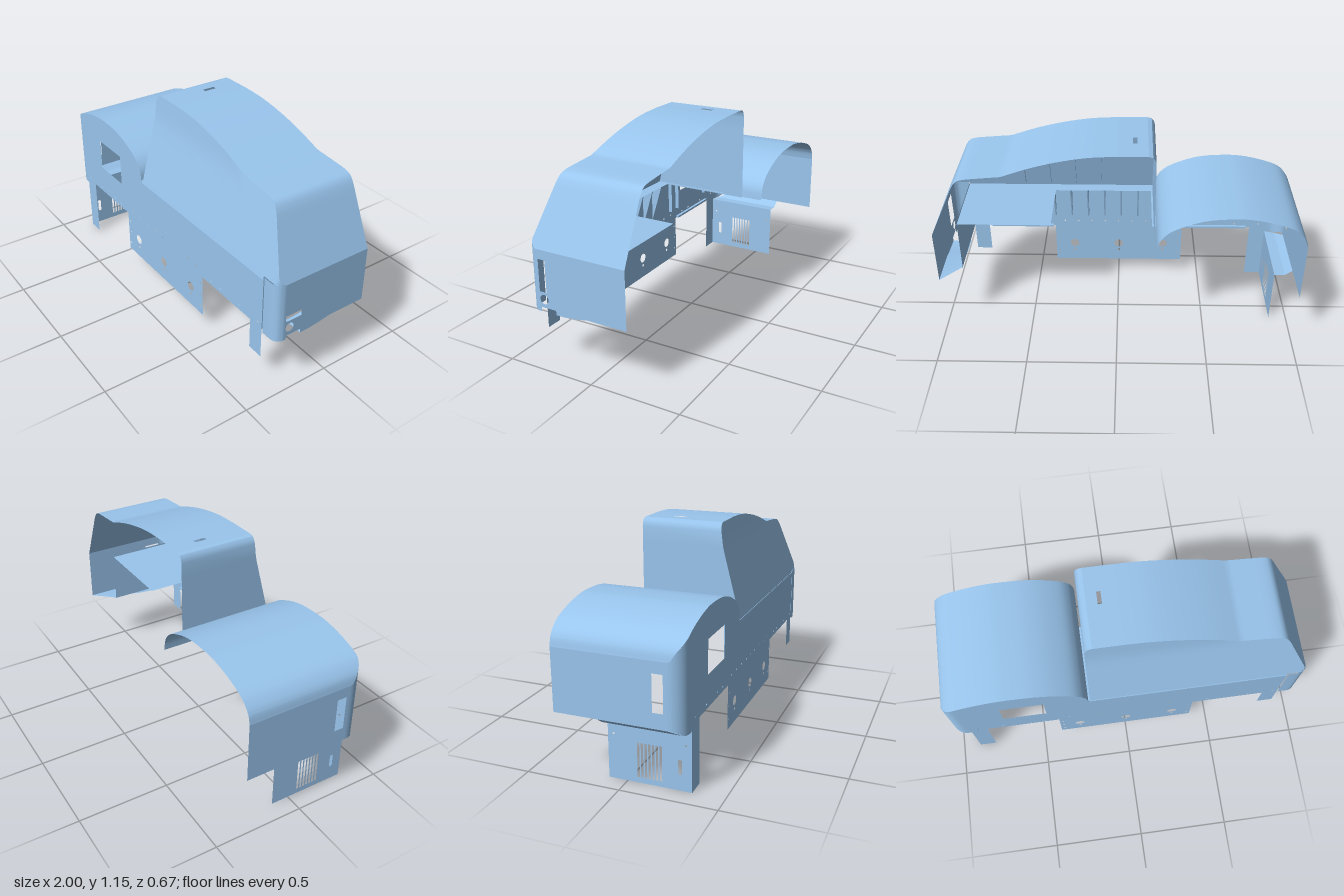
import * as THREE from 'three';
import { toCreasedNormals } from 'three/addons/utils/BufferGeometryUtils.js';

const material = new THREE.MeshStandardMaterial({ color: 0x9ac6ee, side: THREE.DoubleSide });
const FRONT = 0.335, LEDGE = 0.66;

export function createModel() {
  const model = new THREE.Group();

  const add = (name, geometry) => {
    const mesh = new THREE.Mesh(geometry, material);
    mesh.name = name;
    model.add(mesh);
    return mesh;
  };

  // Surface lofted through rows of [x, y, z] points
  const sheet = (name, rows) => {
    const n = rows[0].length, index = [];
    for (let i = 0; i < rows.length - 1; i++) {
      for (let j = 0; j < n - 1; j++) {
        const a = i * n + j, b = a + n;
        index.push(a, b, a + 1, b, b + 1, a + 1);
      }
    }
    const g = new THREE.BufferGeometry();
    g.setAttribute('position', new THREE.Float32BufferAttribute(rows.flat(2), 3));
    g.setIndex(index);
    return add(name, toCreasedNormals(g, 0.5));
  };

  // Flat sheet cut from an outline with holes, placed by a rule (a, b) -> [x, y, z]
  const panel = (name, outline, holes, place) => {
    const shape = new THREE.Shape(outline.map(([a, b]) => new THREE.Vector2(a, b)));
    shape.holes = holes;
    const g = new THREE.ShapeGeometry(shape, 10);
    const p = g.attributes.position;
    for (let i = 0; i < p.count; i++) p.setXYZ(i, ...place(p.getX(i), p.getY(i)));
    g.computeVertexNormals();
    return add(name, g);
  };
  const rect = (a0, b0, a1, b1) => [[a0, b0], [a1, b0], [a1, b1], [a0, b1]];
  const slot = (...r) => new THREE.Path(rect(...r).map(([a, b]) => new THREE.Vector2(a, b)));
  const round = (a, b, r) => new THREE.Path().absarc(a, b, r, 0, Math.PI * 2);
  const spline = (pts, n) =>
    new THREE.SplineCurve(pts.map(([a, b]) => new THREE.Vector2(a, b))).getPoints(n).map((v) => [v.x, v.y]);
  const box = (name, w, h, d, x, y, z) => add(name, new THREE.BoxGeometry(w, h, d)).position.set(x, y, z);

  // Plan line of the front, with rounded vertical corners at both ends
  const planZ = (x) => {
    const r = x < 0 ? 0.08 : 0.05;
    const d = Math.min(r, Math.max(0, Math.abs(x) - (1 - r)));
    return FRONT - r + Math.sqrt(r * r - d * d);
  };
  // Leaning front of the tall hood
  const leanZ = (y) => {
    if (y < LEDGE) return FRONT;
    return y < 1.03 ? 0.33 - 0.258 * (y - LEDGE) : 0.2345 - 0.116 * (y - 1.03);
  };

  // Low arched hood
  const arch = spline([[-1, 0.68], [-0.987, 0.73], [-0.95, 0.775], [-0.9, 0.805], [-0.8, 0.837],
    [-0.7, 0.856], [-0.62, 0.86], [-0.5, 0.853], [-0.4, 0.83], [-0.3, 0.787], [-0.25, 0.748],
    [-0.22, 0.7], [-0.21, 0.64]], 72).map(([x, y]) => [Math.max(-1, x), y]);
  sheet('archedRoof', arch.map(([x, y]) => [[x, y, -FRONT], [x, y, planZ(x)]]));
  const flatStart = arch.findIndex(([x]) => x > -0.92);
  sheet('archedHoodCorner', arch.slice(0, flatStart + 1).map(([x, y]) => {
    const low = 0.32 + Math.max(0, -0.96 - x) * 0.75;
    return [[x, low, planZ(x)], [x, y, planZ(x)]];
  }));
  panel('archedHoodSide', rect(-FRONT, 0.35, 0.255, 0.68), [slot(0.18, 0.43, 0.235, 0.62)], (z, y) => [-1, y, z]);

  // Front wall with its window, feet and control plate
  const holes = [slot(-0.69, 0.52, -0.45, 0.7)];
  for (const x of [-0.275, 0, 0.275]) holes.push(round(x, 0.22, 0.027), round(x, 0.172, 0.008));
  for (let i = 0; i < 9; i++) holes.push(round(-0.33 + i * 0.0825, 0.388, 0.005));
  for (const s of [-1, 1]) {
    for (const y of [0.15, 0.225, 0.3]) holes.push(round(s * 0.37, y, 0.005));
    for (const x of [0.47, 0.55, 0.71, 0.86]) holes.push(round(s * x, 0.375, 0.005));
  }
  const frontOutline = [
    [arch[flatStart][0], 0.32], [-0.9, 0.32], [-0.9, 0], [-0.805, 0], [-0.805, 0.35], [-0.39, 0.35],
    [-0.39, 0.098], [0.39, 0.098], [0.39, 0.35], [0.8, 0.35], [0.8, 0.175], [0.89, 0.175], [0.89, 0.64],
    ...arch.slice(flatStart).reverse(),
  ];
  panel('frontWall', frontOutline, holes, (x, y) => [x, y, FRONT]);

  // Louvred plate and the flange that carries it
  const louvres = [slot(0.265, 0.085, 0.284, 0.16)];
  for (let i = 0; i < 7; i++) louvres.push(slot(0.053 + i * 0.0195, 0.03, 0.065 + i * 0.0195, 0.213));
  for (const z of [-0.07, 0.305]) louvres.push(round(z, 0.24, 0.005));
  panel('louvredPlate', rect(-0.1, 0, FRONT, 0.32), louvres, (z, y) => [-0.9, y, z]);
  sheet('plateFlange', [[-1, 0.35, 0.255], [-0.96, 0.32, 0.32], [-0.9, 0.32, FRONT]]
    .map(([x, y, z]) => [[x, y, -0.1], [x, y, z]]));

  // Tall hood: side, flat top with slot, falling roof and sloping end
  const side = [[-0.2, 0.64], [-0.2, LEDGE], [-0.2, 1.03], [-0.2, 1.11], [-0.194, 1.134], [-0.182, 1.149], [-0.16, 1.155]];
  const roof = spline([[0, 1.155], [0.15, 1.146], [0.3, 1.121], [0.45, 1.082], [0.6, 1.03]], 20)
    .concat(spline([[0.6, 1.03], [0.7, 1.021], [0.8, 1.01], [0.84, 0.992], [0.865, 0.955]], 14).slice(1));
  for (let i = 1; i <= 14; i++) {
    const t = Math.sin((i / 14) * Math.PI / 2);
    roof.push([0.865 + 0.135 * t, 0.955 - 0.295 * t]);
  }
  const hoodZ = (x, y) => Math.min(leanZ(y), planZ(x));
  const hoodRow = ([x, y]) => [[x, y, -0.22], [x, y, hoodZ(x, y)]];
  sheet('tallHoodSide', side.map(hoodRow));
  panel('tallHoodTop', rect(-0.16, -0.22, 0, leanZ(1.155)), [slot(-0.102, -0.08, -0.08, -0.012)],
    (x, z) => [x, 1.155, z]);
  sheet('tallHoodRoof', roof.map(hoodRow));
  sheet('tallHoodFront', [...side.slice(3), ...roof].map(([x, top]) =>
    Array.from({ length: 10 }, (_, i) => {
      const y = LEDGE + (top - LEDGE) * i / 9;
      return [x, y, hoodZ(x, y)];
    })));
  sheet('frontLedge', [-0.21, 0.89].map((x) => [[x, 0.64, FRONT], [x, LEDGE, 0.33]]));

  // End wall, rounded corner column and inner box wall
  const endOutline = [[-0.22, 0.352], [0, 0.352], [0.07, 0.34], [0.14, 0.333], [0.187, 0.333], [0.187, 0.356],
    [0.275, 0.356], [0.275, 0.333], [0.285, 0.333], [0.285, LEDGE], [-0.22, LEDGE]];
  panel('endWall', endOutline, [slot(0.185, 0.44, 0.28, 0.61), round(0.255, 0.4, 0.025)], (z, y) => [1, y, z]);
  const corner = [[0.897, FRONT]];
  for (let i = 0; i <= 10; i++) {
    const a = (i / 10) * Math.PI / 2;
    corner.push([0.95 + 0.05 * Math.sin(a), 0.285 + 0.05 * Math.cos(a)]);
  }
  sheet('endCorner', corner.map(([x, z]) => [[x, 0.333, z], [x, LEDGE, Math.min(z, 0.335)]]));
  panel('innerEndWall', rect(-0.1, 0.35, FRONT, LEDGE), [], (z, y) => [0.89, y, z]);
  sheet('endFloor', [[-0.22, 0.352, -0.1], [0, 0.352, 0], [0.07, 0.34, 0.07], [0.14, 0.333, 0.14], [0.187, 0.333, 0.187]]
    .map(([z, y, inner]) => [[0.89, y, inner], [1, y, z]]));

  // Inner shelf with a narrow flange running to the low hood
  panel('innerShelf', [[-0.21, 0.335], [-0.21, -0.1], [-0.19, -0.1], [-0.19, 0.265], [0.37, 0.265], [0.37, -0.1],
    [0.89, -0.1], [0.89, 0.335]], [], (x, z) => [x, LEDGE - 0.01, z]);

  // Triangular gussets below the shelf
  const gusset = new THREE.ExtrudeGeometry(
    new THREE.Shape([[0, 0], [0, -0.22], [0.065, 0]].map(([a, b]) => new THREE.Vector2(a, b))),
    { depth: 0.008, bevelEnabled: false });
  gusset.rotateY(Math.PI / 2);
  for (let i = 0; i < 10; i++) add('gusset', gusset).position.set(-0.12 + i * 0.1, 0.648, FRONT - 0.002);

  // Slim ribs inside the low hood and the leaning front
  for (const x of [-0.82, -0.74, -0.65, -0.57, -0.49, -0.39, -0.31]) {
    const top = arch.find((p) => p[0] >= x)[1] - 0.012;
    const low = x > -0.7 && x < -0.45 ? 0.72 : 0.42;
    box('wallRib', 0.008, top - low, 0.022, x, (top + low) / 2, FRONT - 0.012);
    box('roofRib', 0.008, 0.014, 0.45, x, top, 0.1);
  }
  for (const x of [0.1, 0.25, 0.4, 0.55]) {
    sheet('leanRib', [[0.67, 0.02], [1.0, 0.02]].map(([y, d]) => [[x, y, leanZ(y)], [x, y, leanZ(y) - d]]));
  }
  for (const s of [-1, 1]) box('lowerStiffener', 0.38, 0.012, 0.016, s * 0.59, 0.358, FRONT - 0.009);

  return model;
}
